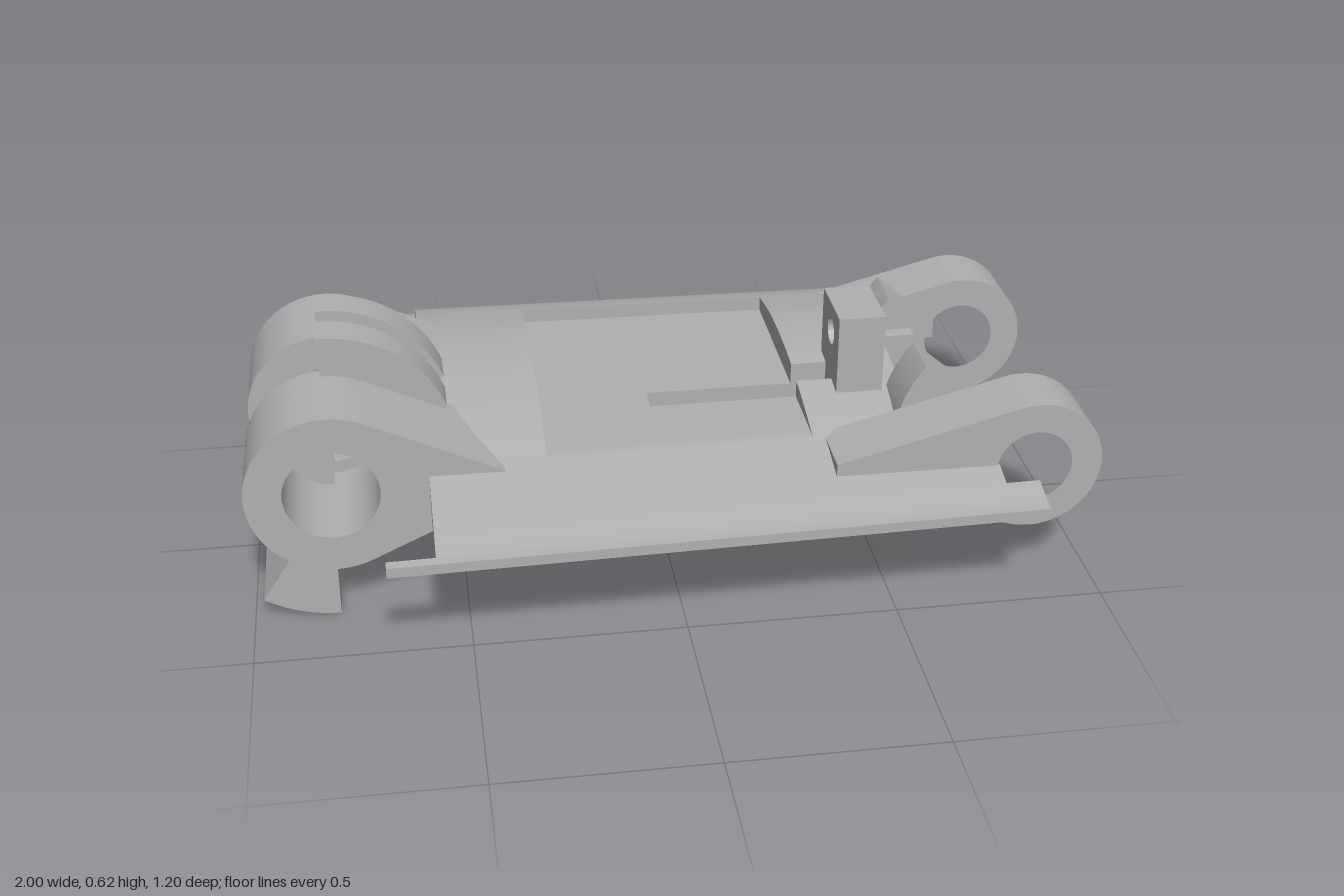
import * as THREE from 'three';
import { toCreasedNormals } from 'three/addons/utils/BufferGeometryUtils.js';

export function createModel() {
  const model = new THREE.Group();
  const grey = new THREE.MeshStandardMaterial({ color: 0xb0b0b0 });
  grey.name = 'plain grey';
  const rad = THREE.MathUtils.degToRad;

  function add(name, geometry) {
    const mesh = new THREE.Mesh(toCreasedNormals(geometry, 0.5), grey);
    mesh.name = name;
    model.add(mesh);
  }
  const extrude = (shape, depth) =>
    new THREE.ExtrudeGeometry(shape, { depth, bevelEnabled: false, curveSegments: 40 });

  // Shape in x and y, extruded between two z positions
  function alongZ(name, shape, z0, z1) {
    add(name, extrude(shape, z1 - z0).translate(0, 0, z0));
  }
  // The same part on both sides
  function mirrored(name, shape, inner, outer) {
    alongZ(name + 'Left', shape, inner, outer);
    alongZ(name + 'Right', shape, -outer, -inner);
  }
  // Shape in -z and y, extruded between two x positions
  const alongX = (shape, x0, x1) => extrude(shape, x1 - x0).rotateY(Math.PI / 2).translate(x0, 0, 0);

  // Wing section: points are (z, y), blunt at the back and thin at the front
  const curve = (pts) =>
    new THREE.SplineCurve(pts.map(([z, y]) => new THREE.Vector2(z, y))).getPoints(60);
  const top = curve([[-0.6, 0.28], [-0.59, 0.315], [-0.565, 0.34], [-0.52, 0.37], [-0.45, 0.395],
    [-0.3, 0.422], [-0.18, 0.43], [-0.05, 0.427], [0.08, 0.411], [0.2, 0.388], [0.29, 0.366],
    [0.42, 0.335], [0.5, 0.316], [0.57, 0.299], [0.6, 0.295]]);
  const bottom = curve([[-0.6, 0.28], [-0.59, 0.25], [-0.56, 0.227], [-0.5, 0.208], [-0.42, 0.201],
    [-0.25, 0.203], [-0.1, 0.21], [0.1, 0.222], [0.3, 0.24], [0.42, 0.256], [0.5, 0.266],
    [0.57, 0.27], [0.6, 0.27]]);
  function heightAt(line, z) {
    for (let i = 1; i < line.length; i++) {
      const a = line[i - 1], b = line[i];
      if (z <= b.x) return a.y + (b.y - a.y) * Math.max(0, (z - a.x) / (b.x - a.x));
    }
    return line[line.length - 1].y;
  }

  // Slab of the wing; cuts are [z0, z1, floor] pockets in its upper face
  function slab(name, x0, x1, z0, z1, cuts = []) {
    const e = 0.0002;
    const inside = (z) => z > z0 && z < z1;
    const zTop = [z0, z1, ...top.map((p) => p.x).filter(inside)];
    for (const [a, b] of cuts) zTop.push(a - e, a + e, b - e, b + e);
    zTop.sort((a, b) => a - b);
    const zBottom = [z0, z1, ...bottom.map((p) => p.x).filter(inside)].sort((a, b) => b - a);
    const pts = zTop.map((z) => {
      let y = heightAt(top, z);
      for (const [a, b, floor] of cuts) if (z > a && z < b) y = Math.min(y, floor);
      return new THREE.Vector2(-z, y);
    });
    for (const z of zBottom) {
      const y = heightAt(bottom, z);
      const last = pts[pts.length - 1];
      if (Math.hypot(last.x + z, last.y - y) > 1e-5) pts.push(new THREE.Vector2(-z, y));
    }
    if (pts[0].distanceTo(pts[pts.length - 1]) < 1e-5) pts.pop();
    const g = alongX(new THREE.Shape(pts), x0, x1);
    // Slight taper towards the right end
    const p = g.attributes.position;
    for (let i = 0; i < p.count; i++) {
      const s = 1 - (p.getX(i) + 0.69) * 0.038;
      p.setZ(i, p.getZ(i) * s);
      p.setY(i, 0.28 + (p.getY(i) - 0.28) * (1 - (p.getX(i) + 0.69) * 0.02));
    }
    add(name, g);
  }

  const pocket = [-0.417, 0.295, 0.366];
  const slot = [0.015, 0.085, 0.29];
  slab('bodyEnd', -0.575, -0.3, -0.6, 0.6);
  slab('bodyPocket', -0.3, -0.03, -0.6, 0.6, [pocket]);
  slab('bodyPocketSlot', -0.03, 0.33, -0.6, 0.6, [pocket, slot]);
  slab('bodySlot', 0.33, 0.42, -0.6, 0.6, [slot]);
  slab('bodyFork', 0.42, 0.58, -0.6, 0.6);
  slab('forkFront', 0.58, 0.665, 0.09, 0.6);
  slab('forkBack', 0.58, 0.665, -0.6, -0.09);
  slab('cornerFront', 0.665, 0.75, 0.435, 0.6);
  slab('cornerBack', 0.665, 0.77, -0.6, -0.435);
  slab('edgeTabFront', 0.75, 0.83, 0.5, 0.6);
  slab('edgeTabBack', 0.77, 0.83, -0.6, -0.5);
  slab('edgeStripFront', -0.685, -0.575, 0.577, 0.6);
  slab('edgeStripBack', -0.7, -0.575, -0.6, -0.577);

  // Teardrop eye: ring with tangent sides running to a tip; dir is the tip's x direction
  function eye(cx, cy, r, hole, tangent, tipX, dir) {
    const t = rad(tangent), pts = [];
    for (let i = 0; i <= 48; i++) {
      const a = t + (2 * Math.PI - 2 * t) * (i / 48);
      pts.push(new THREE.Vector2(cx + dir * r * Math.cos(a), cy + r * Math.sin(a)));
    }
    const run = Math.abs(tipX - cx) - r * Math.cos(t);
    const half = r * Math.sin(t) - run / Math.tan(t);
    pts.push(new THREE.Vector2(tipX, cy - half), new THREE.Vector2(tipX, cy + half));
    const s = new THREE.Shape(pts);
    s.holes.push(new THREE.Path().absarc(cx, cy, hole, 0, Math.PI * 2, true));
    return s;
  }
  function sector(cx, cy, r0, r1, a0, a1) {
    const s = new THREE.Shape();
    s.absarc(cx, cy, r1, rad(a0), rad(a1), false);
    s.absarc(cx, cy, r0, rad(a1), rad(a0), true);
    s.closePath();
    return s;
  }

  // Large hinge eyes with their stops
  const bx = -0.8, by = 0.325;
  mirrored('largeEye', eye(bx, by, 0.2, 0.112, 65, -0.4, 1), 0.088, 0.325);
  mirrored('largeEyeStop', sector(bx, by, 0.19, 0.323, 237, 270), 0.09, 0.325);

  // Small hinge eyes with the stops on the fork
  const sx = 0.835, sy = 0.32;
  mirrored('smallEye', eye(sx, sy, 0.163, 0.09, 75, 0.36, -1), 0.258, 0.415);
  mirrored('forkStop', sector(sx, sy, 0.175, 0.307, 197, 232), 0.085, 0.245);
  mirrored('forkCheek', sector(sx, sy, 0.17, 0.3, 140, 200), 0.12, 0.25);

  // Curved ridges between the large eyes, joined by a lower web
  const ridge = new THREE.Shape();
  ridge.absarc(bx, by, 0.297, rad(20), rad(93), false);
  ridge.absarc(bx, by, 0.115, rad(93), rad(-90), true);
  ridge.lineTo(-0.74, 0.195);
  ridge.lineTo(-0.55, 0.215);
  ridge.closePath();
  mirrored('ridge', ridge, 0.028, 0.118);
  alongZ('ridgeWeb', sector(bx, by, 0.13, 0.235, -28, 82), -0.03, 0.03);

  // Upright block with a round hole
  const block = new THREE.Shape();
  block.moveTo(-0.137, 0.29).lineTo(0.038, 0.29).lineTo(0.038, 0.595).lineTo(-0.137, 0.595).closePath();
  block.holes.push(new THREE.Path().absarc(-0.054, 0.525, 0.034, 0, Math.PI * 2, true));
  add('uprightBlock', alongX(block, 0.417, 0.53));

  return model;
}
